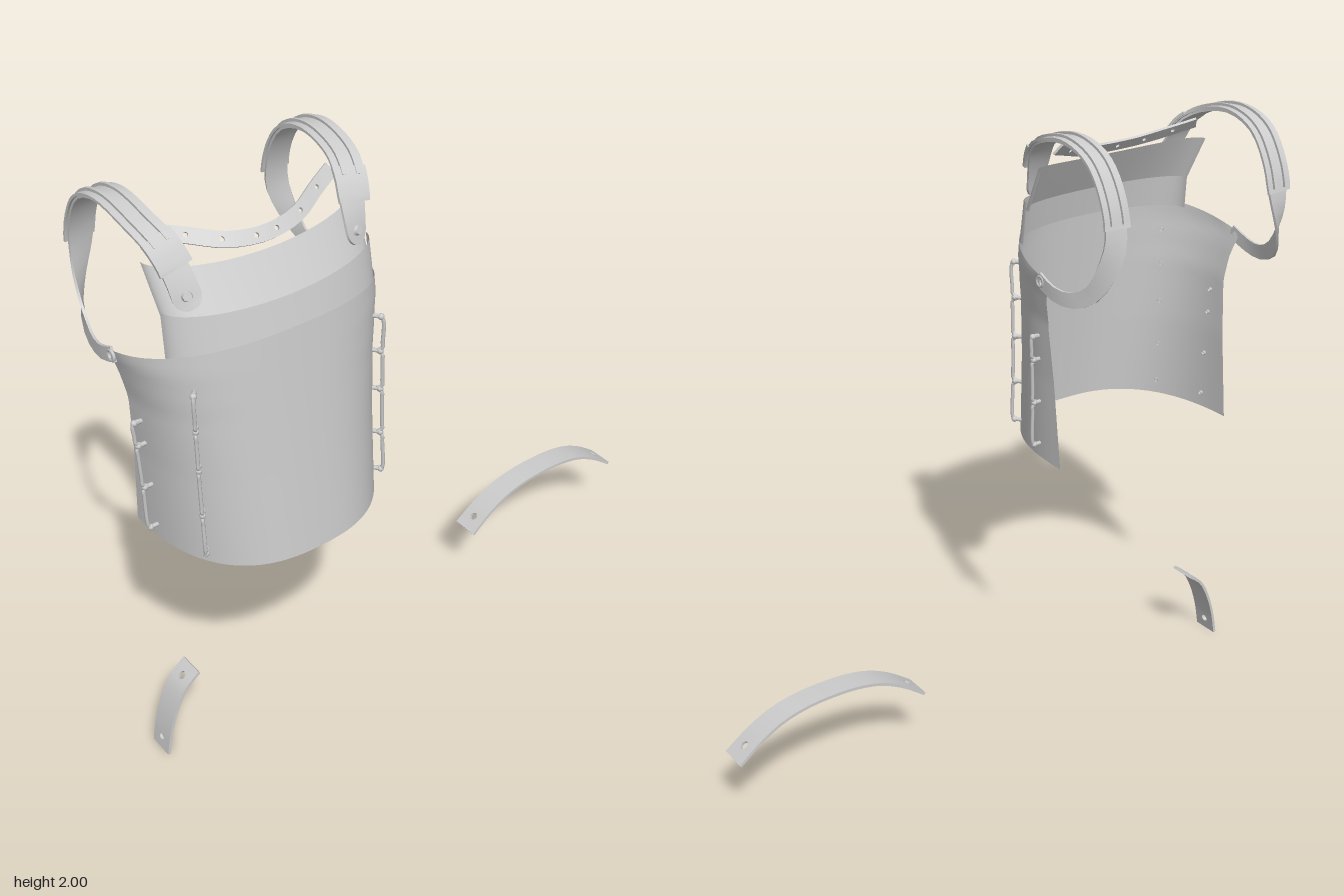
import * as THREE from 'three';
import { mergeGeometries, toCreasedNormals } from 'three/addons/utils/BufferGeometryUtils.js';

const steel = new THREE.MeshStandardMaterial({ color: 0xcccccc, side: THREE.DoubleSide });
const V = (x, y, z) => new THREE.Vector3(x, y, z);
const path = (pts) => new THREE.CatmullRomCurve3(pts.map((p) => V(...p)));
const lerp = THREE.MathUtils.lerp;

function mesh(name, geometry) {
  const m = new THREE.Mesh(geometry, steel);
  m.name = name;
  return m;
}

// Piecewise linear lookup in [[key, value], ...]
function lookup(table, k) {
  for (let i = 1; i < table.length; i++) {
    const [a, va] = table[i - 1], [b, vb] = table[i];
    if (k <= b || i === table.length - 1) return lerp(va, vb, THREE.MathUtils.clamp((k - a) / (b - a), 0, 1));
  }
}

// Smooth curved sheet from a rule point(angle, height fraction)
function sheet(point, na = 48, nv = 16) {
  const pos = [], idx = [];
  for (let j = 0; j <= nv; j++) {
    for (let i = 0; i <= na; i++) pos.push(...point((i / na - 0.5) * Math.PI, j / nv).toArray());
  }
  for (let j = 0; j < nv; j++) {
    for (let i = 0; i < na; i++) {
      const a = j * (na + 1) + i, b = a + na + 1;
      idx.push(a, a + 1, b + 1, a, b + 1, b);
    }
  }
  const g = new THREE.BufferGeometry();
  g.setAttribute('position', new THREE.Float32BufferAttribute(pos, 3));
  g.setIndex(idx);
  g.computeVertexNormals();
  return g;
}

// Thin band along a curve, made of short cells; some cells carry a round hole
function strip(curve, o) {
  const { width, side, n = 24, thick = 0.01, from = 0, to = 1, shift = 0, lift = 0, holes = [], hole = 0.012, round = false } = o;
  const wid = typeof width === 'function' ? width : () => width;
  const len = curve.getLength(), cells = [];
  for (let i = 0; i < n; i++) {
    const u0 = lerp(from, to, i / n), u1 = lerp(from, to, (i + 1) / n);
    const s0 = u0 * len, s1 = u1 * len, h0 = wid(u0) / 2, h1 = wid(u1) / 2;
    const shape = new THREE.Shape();
    if (round && i === 0) {
      shape.moveTo(s1, -h1).lineTo(s1, h1);
      for (let k = 0; k <= 10; k++) {
        const a = Math.PI / 2 + (k / 10) * Math.PI;
        shape.lineTo(s1 + Math.cos(a) * (s1 - s0), Math.sin(a) * h1);
      }
    } else {
      shape.moveTo(s0, -h0).lineTo(s1, -h1).lineTo(s1, h1).lineTo(s0, h0);
    }
    if (holes.includes(i)) {
      shape.holes.push(new THREE.Path().absarc((s0 + s1) / 2, 0, hole, 0, Math.PI * 2, true));
    }
    cells.push(new THREE.ExtrudeGeometry(shape, { depth: thick, bevelEnabled: false, curveSegments: 10 }));
  }
  const g = mergeGeometries(cells), p = g.attributes.position;
  for (let i = 0; i < p.count; i++) {
    const u = THREE.MathUtils.clamp(p.getX(i) / len, 0, 1);
    const t = curve.getTangentAt(u), w = side(u);
    w.addScaledVector(t, -w.dot(t)).normalize();
    const q = curve.getPointAt(u).addScaledVector(w, p.getY(i) + shift)
      .addScaledVector(w.clone().cross(t), p.getZ(i) - thick / 2 + lift);
    p.setXYZ(i, q.x, q.y, q.z);
  }
  return toCreasedNormals(g, 0.7);
}

// Breastplate surface
const POW = 2.5;
const halfWidth = [[0.91, 0.357], [1.2, 0.36], [1.4, 0.37], [1.5, 0.388], [1.56, 0.403], [1.65, 0.4]];
const backEdge = [[0.91, -0.11], [1.2, -0.072], [1.38, -0.05], [1.47, -0.055], [1.56, -0.08], [1.65, -0.08]];
const frontEdge = [[0.91, 0.33], [1.645, 0.27]];
function bodyPoint(a, y) {
  const t = Math.abs(Math.cos(a)) ** (2 / POW), s = Math.sin(a), zb = lookup(backEdge, y);
  return V(lookup(halfWidth, y) * Math.sign(s) * Math.abs(s) ** (2 / POW), y, lerp(zb, lookup(frontEdge, y), t));
}

// Lames between breastplate and neck; each row is [y, halfWidth, front z, end z, rise at ends]
function lame(low, high) {
  return sheet((a, v) => {
    const [y, hw, zf, zb, rise] = low.map((k, i) => lerp(k, high[i], v));
    return V(hw * Math.sin(a), y + rise * Math.sin(a) ** 2, lerp(zb, zf, Math.cos(a)));
  }, 40, 6);
}

// Lacing cord that dips into the plate at every hole
function lacing(name, angleAt, out, heights) {
  const g = new THREE.Group();
  g.name = name;
  const at = (y, k) => bodyPoint(angleAt(y), y).addScaledVector(out, k);
  const pts = [at(heights[0], -0.008), at(heights[0], 0.026)];
  heights.slice(1, -1).forEach((y) => pts.push(at(y + 0.03, 0.03), at(y + 0.012, 0.03), at(y, 0.014), at(y - 0.012, 0.03), at(y - 0.03, 0.03)));
  const end = heights[heights.length - 1];
  pts.push(at(end + 0.01, 0.03), at(end, 0.024), at(end, 0.008));
  g.add(mesh('cord', new THREE.TubeGeometry(new THREE.CatmullRomCurve3(pts, false, 'centripetal'), 90, 0.006, 6)));
  heights.forEach((y) => {
    g.add(mesh('cordStub', new THREE.TubeGeometry(new THREE.LineCurve3(at(y, -0.008), at(y, 0.018)), 1, 0.007, 6)));
    const knot = mesh('knot', new THREE.SphereGeometry(0.01, 8, 6));
    knot.position.copy(at(y, 0.024));
    g.add(knot);
  });
  return g;
}

// Everything that exists once per side, built for the left side
function buildSide() {
  const g = new THREE.Group();
  const strap = path([[0.268, 1.745, 0.17], [0.28, 1.84, 0.135], [0.3, 1.915, 0.09], [0.318, 1.955, 0.03], [0.326, 1.982, -0.1],
    [0.326, 1.945, -0.21], [0.325, 1.85, -0.28], [0.328, 1.73, -0.312], [0.345, 1.65, -0.305], [0.37, 1.56, -0.262],
    [0.39, 1.522, -0.19], [0.402, 1.525, -0.11], [0.402, 1.552, -0.04]]);
  // Band lies flat on the shoulder and twists upright below the arm
  const side = (u) => {
    const th = THREE.MathUtils.smoothstep(u, 0.58, 0.86) * Math.PI / 2, p = strap.getPointAt(u);
    const radial = V(0, p.y - 1.76, p.z + 0.1).normalize();
    const w = V(Math.cos(th), 0, 0).addScaledVector(radial, -Math.sin(th));
    w.z -= 0.45 * Math.max(0, 1 - u / 0.12);
    return w;
  };
  g.add(mesh('shoulderStrap', strip(strap, { width: (u) => lerp(0.08, 0.045, THREE.MathUtils.smoothstep(u, 0.5, 0.95)),
    side, n: 30, thick: 0.008, round: true, holes: [29], hole: 0.011 })));
  g.add(mesh('shoulderPlate', strip(strap, { width: 0.094, side, n: 24, from: 0.1, to: 0.61, lift: 0.007, thick: 0.008 })));
  g.add(mesh('plateCollar', strip(strap, { width: 0.1, side, n: 5, from: 0.1, to: 0.18, lift: 0.011, thick: 0.01 })));
  for (const shift of [-0.022, 0.022]) {
    g.add(mesh('shoulderRidge', strip(strap, { width: 0.01, side, n: 24, from: 0.16, to: 0.6, lift: 0.014, thick: 0.01, shift })));
  }
  // Rivet at the rounded strap end
  const u = 0.035, t = strap.getTangentAt(u), w = side(u);
  w.addScaledVector(t, -w.dot(t)).normalize();
  const normal = w.clone().cross(t);
  const rivet = mesh('strapRivet', new THREE.CylinderGeometry(0.012, 0.016, 0.012, 16));
  rivet.position.copy(strap.getPointAt(u)).addScaledVector(normal, 0.008);
  rivet.quaternion.setFromUnitVectors(V(0, 1, 0), normal);
  g.add(rivet);
  // Eyelet joining strap and breastplate corner
  const eyelet = mesh('eyelet', new THREE.TorusGeometry(0.016, 0.005, 8, 20));
  eyelet.position.set(0.404, 1.545, -0.05);
  eyelet.rotation.y = Math.PI / 2;
  g.add(eyelet);
  g.add(lacing('frontLacing', (y) => Math.asin((0.298 / lookup(halfWidth, y)) ** (POW / 2)),
    V(0.62, 0, 0.78), [1.515, 1.395, 1.26, 1.1, 0.96]));
  g.add(lacing('sideLacing', (y) => Math.acos(((0.005 - lookup(backEdge, y)) / (lookup(frontEdge, y) - lookup(backEdge, y))) ** (POW / 2)),
    V(1, 0, 0), [1.34, 1.26, 1.11, 0.96]));
  return g;
}

export function createModel() {
  const model = new THREE.Group();
  const armor = new THREE.Group();
  armor.name = 'cuirass';
  armor.position.x = -0.575;
  model.add(armor);

  armor.add(mesh('breastplate', sheet((a, v) => {
    const top = 1.553 + 0.092 * Math.abs(Math.cos(a)) ** (2 / POW);
    return bodyPoint(a, lerp(0.91, top, v));
  }, 64, 32)));
  armor.add(mesh('lowerLame', lame([1.6, 0.338, 0.262, 0.13, 0], [1.725, 0.334, 0.236, 0.12, 0.015])));
  armor.add(mesh('upperLame', lame([1.7, 0.328, 0.23, 0.115, 0.01], [1.832, 0.336, 0.155, 0.045, 0.025])));

  // Neck band with holes
  const neck = path([[-0.28, 1.92, 0.035], [-0.21, 1.9, 0.065], [-0.11, 1.872, 0.112], [0, 1.863, 0.13],
    [0.11, 1.872, 0.112], [0.21, 1.9, 0.065], [0.28, 1.92, 0.035]]);
  armor.add(mesh('neckBand', strip(neck, { width: 0.044, side: () => V(0, 0.78, -0.62), n: 19,
    thick: 0.008, holes: [2, 5, 8, 10, 13, 16], hole: 0.007 })));

  const left = buildSide(), right = buildSide();
  left.name = 'leftSide';
  right.name = 'rightSide';
  right.scale.x = -1;
  armor.add(left, right);

  // Loose curved bands
  const across = () => V(0, 0, 1);
  const long = path([[0.312, 0.245, -0.055], [0.39, 0.302, -0.055], [0.47, 0.342, -0.055], [0.56, 0.362, -0.055], [0.645, 0.366, -0.055],
    [0.73, 0.362, -0.055], [0.82, 0.342, -0.055], [0.9, 0.302, -0.055], [0.978, 0.245, -0.055]]);
  model.add(mesh('longBand', strip(long, { width: (u) => 0.083 + 0.01 * (2 * u - 1) ** 2, side: across, n: 21,
    holes: [1, 19], hole: 0.013 })));
  const short = path([[-0.98, 0.004, -0.048], [-0.962, 0.09, -0.048], [-0.933, 0.175, -0.048], [-0.893, 0.246, -0.048], [-0.84, 0.288, -0.048]]);
  model.add(mesh('shortBand', strip(short, { width: 0.09, side: across, n: 11, holes: [1, 9], hole: 0.013 })));
  return model;
}
